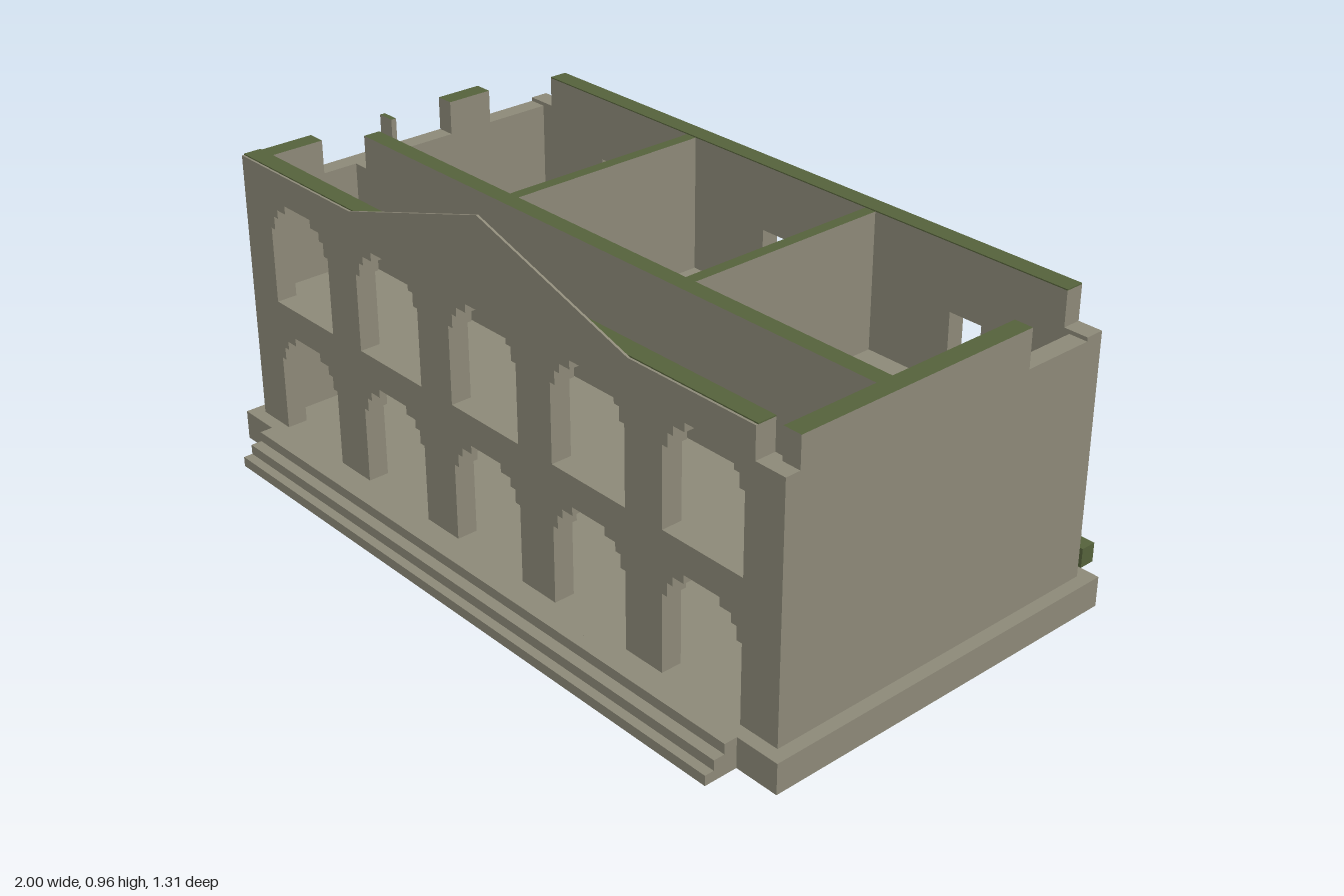
import * as THREE from 'three';

const stone = new THREE.MeshStandardMaterial({ color: 0x8f8b7a, side: THREE.DoubleSide });
stone.name = 'weathered stone';
const moss = new THREE.MeshStandardMaterial({ color: 0x56633c });
moss.name = 'moss green';
const mossTopped = [stone, stone, moss, stone, stone, stone];

const FLOOR = 0.08, UPPER = 0.445, NOTCH = 0.72, TOP = 0.81;
const ARCH_X = [-0.73, -0.365, 0, 0.365, 0.73];

export function createModel() {
  const model = new THREE.Group();

  const add = (name, geometry, material) => {
    const mesh = new THREE.Mesh(geometry, material);
    mesh.name = name;
    model.add(mesh);
    return mesh;
  };

  // Box given by its extents
  const box = (name, x0, x1, y0, y1, z0, z1, material = stone, open = false) => {
    const g = new THREE.BoxGeometry(x1 - x0, y1 - y0, z1 - z0);
    if (open) { // drop the bottom face
      const index = Array.from(g.index.array);
      index.splice(18, 6);
      g.setIndex(index);
      g.clearGroups();
    }
    g.translate((x0 + x1) / 2, (y0 + y1) / 2, (z0 + z1) / 2);
    return add(name, g, material);
  };

  const wall = (name, shape, z, depth) => {
    const g = new THREE.ExtrudeGeometry(shape, { depth, bevelEnabled: false });
    g.translate(0, 0, z);
    return add(name, g, stone);
  };

  // Stepped arch outline, from lower left over the top to lower right
  const archPoints = (cx, y) => {
    const half = [[0.123, 0], [0.123, 0.205], [0.107, 0.205], [0.107, 0.24],
      [0.09, 0.24], [0.09, 0.263], [0.055, 0.263], [0.055, 0.285]];
    const left = half.map(([dx, dy]) => new THREE.Vector2(cx - dx, y + dy));
    const right = half.map(([dx, dy]) => new THREE.Vector2(cx + dx, y + dy)).reverse();
    return [...left, ...right];
  };

  // Hollow plinth and front steps
  box('plinth', -1, 1, 0, FLOOR, -0.48, 0.565, stone, true);
  [0.6, 0.63, 0.655].forEach((z, i) =>
    box('frontStep', -0.88, 0.88, 0, FLOOR * (3 - i) / 3, i ? [0.6, 0.63][i - 1] : 0.565, z, stone, true));

  // Front wall: doorways cut from the lower edge, windows as holes
  const front = new THREE.Shape([
    new THREE.Vector2(-0.965, FLOOR),
    ...ARCH_X.flatMap((x) => archPoints(x, FLOOR)),
    ...[[0.965, FLOOR], [0.965, 0.73], [0.88, 0.73], [0.88, TOP], [-0.965, TOP]]
      .map(([x, y]) => new THREE.Vector2(x, y)),
  ]);
  ARCH_X.forEach((x) => front.holes.push(new THREE.Path(archPoints(x, UPPER))));
  wall('frontWall', front, 0.475, 0.055);
  box('frontWallMoss', -0.965, 0.88, TOP, TOP + 0.003, 0.475, 0.524, moss);

  // Thin gable on the front face
  const gable = new THREE.Shape([[-0.5, TOP], [0.5, TOP], [0, 0.965]]
    .map(([x, y]) => new THREE.Vector2(x, y)));
  wall('gable', gable, 0.524, 0.006);

  // Back wall with small square windows and broken ends
  const back = new THREE.Shape([[-0.965, FLOOR], [0.965, FLOOR], [0.965, NOTCH], [0.9, NOTCH],
    [0.9, TOP], [-0.88, TOP], [-0.88, 0.73], [-0.965, 0.73]]
    .map(([x, y]) => new THREE.Vector2(x, y)));
  for (const x of [-0.62, 0, 0.62]) {
    for (const y of [0.22, 0.585]) {
      const w = 0.048, h = 0.052;
      back.holes.push(new THREE.Path([[x - w, y - h], [x - w, y + h], [x + w, y + h], [x + w, y - h]]
        .map(([px, py]) => new THREE.Vector2(px, py))));
    }
  }
  wall('backWall', back, -0.445, 0.05);
  box('backWallMoss', -0.88, 0.9, TOP, TOP + 0.003, -0.445, -0.395, moss);

  // Side walls with crumbled tops
  box('leftWall', 0.915, 0.965, FLOOR, 0.71, -0.395, 0.475);
  box('leftWallTop', 0.915, 0.965, 0.71, TOP, -0.2, 0.49, mossTopped);
  box('rightWall', -0.965, -0.915, FLOOR, NOTCH, -0.395, 0.475);
  for (const [z0, z1] of [[-0.21, -0.08], [0.095, 0.11], [0.325, 0.475]]) {
    box('rightWallTop', -0.965, -0.915, NOTCH, TOP, z0, z1, mossTopped);
  }

  // Upper floor and inner walls
  box('upperFloor', -0.915, 0.915, 0.365, UPPER, -0.395, 0.475);
  box('corridorWall', -0.87, 0.915, FLOOR, TOP, 0.18, 0.227, mossTopped);
  box('corridorWallEnd', -0.915, -0.87, FLOOR, NOTCH, 0.18, 0.227);
  for (const x of [-0.315, 0.31]) {
    box('partition', x - 0.016, x + 0.016, FLOOR, TOP, -0.395, 0.18, mossTopped);
  }

  // Moss tufts under the doorway arches
  for (const x of [-0.675, -0.445, 0.45]) {
    box('mossTuft', x - 0.008, x + 0.008, 0.343, 0.363, 0.49, 0.515, moss);
  }

  // Fallen rubble behind the building
  box('rubble', 0.72, 0.82, 0, 0.06, -0.545, -0.48, moss);
  box('rubble', 0.765, 0.815, 0, 0.04, -0.655, -0.59, moss);
  box('rubble', 0.822, 0.875, 0, 0.053, -0.627, -0.583, moss);
  box('rubble', 0.645, 0.725, 0, 0.04, -0.575, -0.555);
  box('rubble', 0.645, 0.72, 0, 0.053, -0.555, -0.505);

  return model;
}
